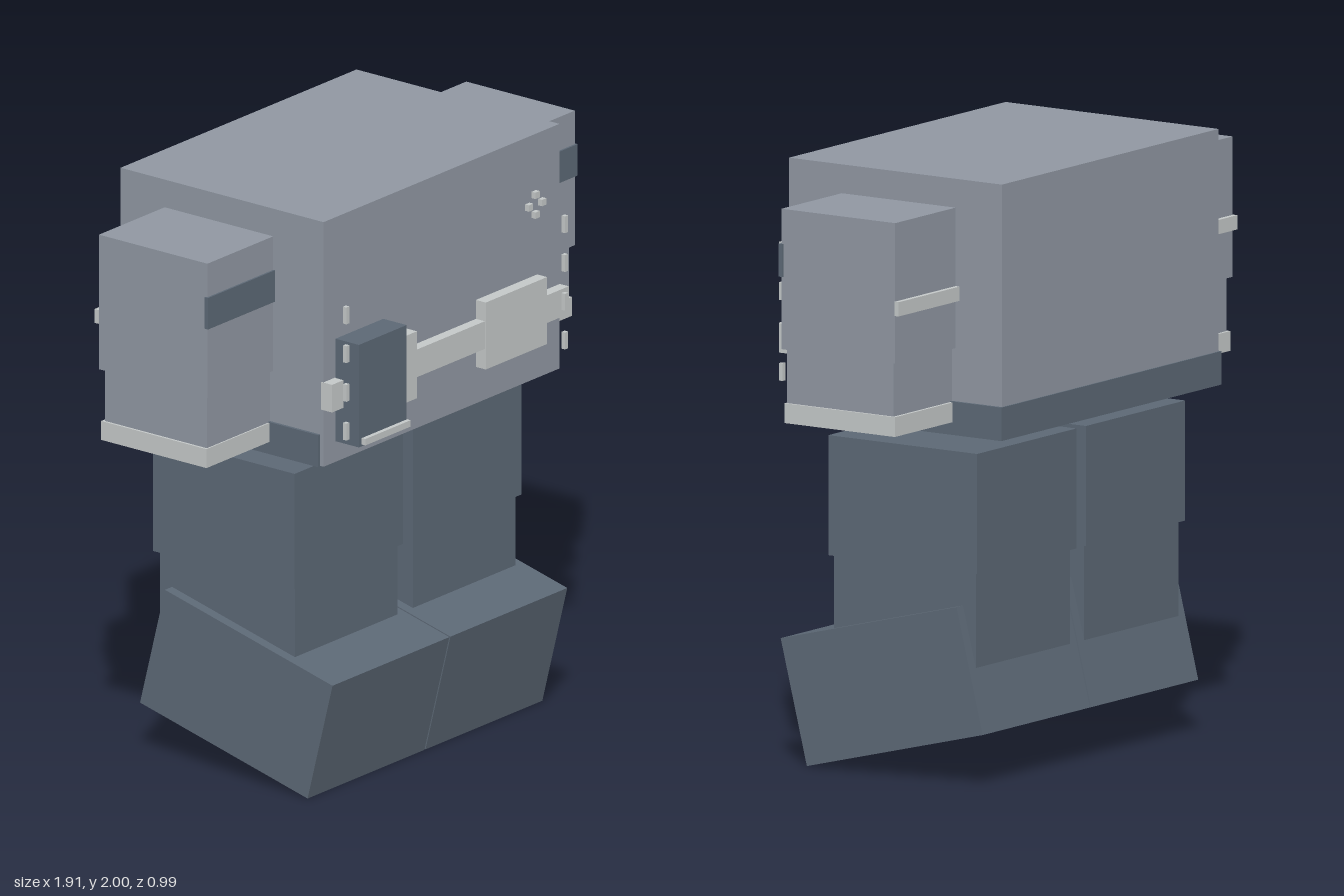
import * as THREE from 'three';

export function createModel() {
  const model = new THREE.Group();
  model.name = 'armouredBody';

  const mat = (name, color) => {
    const m = new THREE.MeshStandardMaterial({ color });
    m.name = name;
    return m;
  };
  const grey = mat('armourGrey', 0x9097a2);
  const slate = mat('darkSlate', 0x5c6875);
  const pale = mat('paleTrim', 0xc4c8c8);

  // Box given by its extents on each axis
  const box = (name, material, [x0, x1], [y0, y1], [z0, z1], parent = model) => {
    const mesh = new THREE.Mesh(new THREE.BoxGeometry(x1 - x0, y1 - y0, z1 - z0), material);
    mesh.position.set((x0 + x1) / 2, (y0 + y1) / 2, (z0 + z1) / 2);
    mesh.name = name;
    parent.add(mesh);
    return mesh;
  };
  // Extent on x, mirrored to the chosen side
  const side = (s, a, b) => (s > 0 ? [a, b] : [-b, -a]);

  // Torso with a dark hem around the sides and back
  box('torso', grey, [-0.61, 0.61], [1.16, 2], [-0.493, 0.349]);
  box('hem', slate, [-0.62, 0.62], [1.158, 1.268], [-0.498, 0.335]);

  for (const s of [1, -1]) {
    const label = s > 0 ? 'left' : 'right';

    // Arm
    const arm = new THREE.Group();
    arm.name = label + 'Arm';
    model.add(arm);
    box('upperArm', grey, side(s, 0.61, 0.95), [1.443, 1.905], [-0.31, 0.14], arm);
    box('forearm', grey, side(s, 0.61, 0.937), [1.202, 1.443], [-0.295, 0.127], arm);
    box('cuff', pale, side(s, 0.61, 0.945), [1.2, 1.265], [-0.305, 0.132], arm);
    box('armBand', slate, side(s, 0.61, 0.956), [1.682, 1.79], [0.132, 0.147], arm);
    box('backArmStrip', pale, side(s, 0.61, 0.954), [1.6, 1.647], [-0.326, -0.309], arm);

    // Leg
    const leg = new THREE.Group();
    leg.name = label + 'Leg';
    model.add(leg);
    box('thigh', slate, side(s, 0.027, 0.586), [0.703, 1.098], [-0.378, 0.21], leg);
    box('shin', slate, side(s, 0.04, 0.57), [0.3, 0.703], [-0.362, 0.198], leg);
    const foot = box('foot', slate, side(s, 0.003, 0.607), [0.086, 0.509], [-0.374, 0.343], leg);
    foot.rotation.x = 0.247;

    // Belt plate
    box(label + 'BeltPlate', pale, side(s, 0.178, 0.495), [1.285, 1.515], [0.34, 0.39]);

    // Column of small studs at the chest edge
    for (let i = 0; i < 4; i++) {
      const y = 1.283 + i * 0.133;
      box(label + 'ChestStud', pale, side(s, 0.558, 0.573), [y - 0.029, y + 0.029], [0.4, 0.414]);
    }
  }

  // Belt strap
  box('belt', pale, [-0.612, 0.612], [1.355, 1.45], [0.34, 0.386]);

  // Hip pouch with its trim
  box('pouch', slate, [-0.553, -0.306], [1.233, 1.585], [0.353, 0.45]);
  box('pouchTrim', pale, [-0.545, -0.31], [1.242, 1.264], [0.455, 0.47]);

  // Four-dot chest badge
  for (let i = 0; i < 4; i++) {
    const a = (i * Math.PI) / 2;
    const x = 0.314 + Math.cos(a) * 0.034;
    const y = 1.836 + Math.sin(a) * 0.034;
    box('badgeDot', pale, [x - 0.011, x + 0.011], [y - 0.011, y + 0.011], [0.48, 0.496]);
  }

  return model;
}
